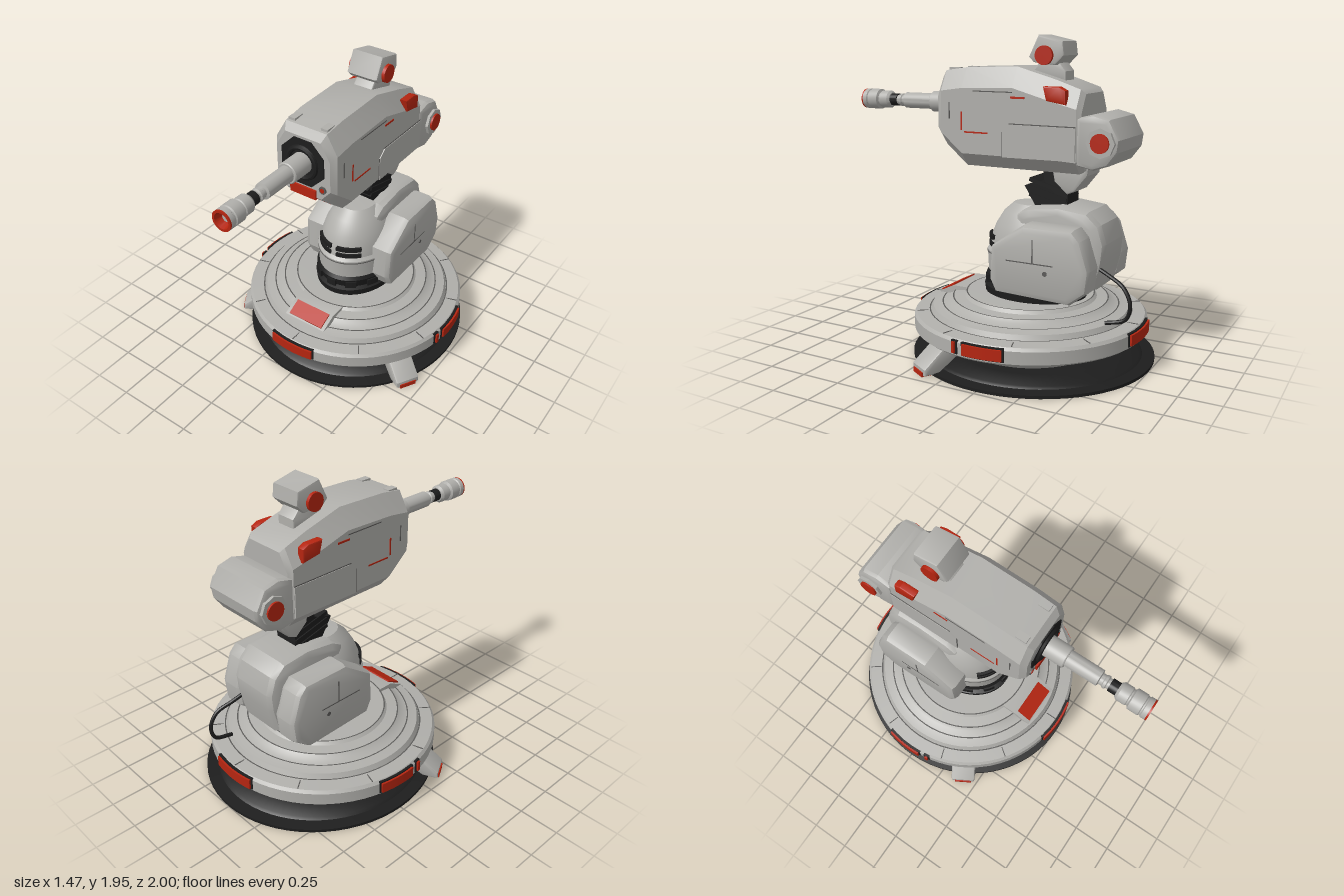
import * as THREE from 'three';
import { toCreasedNormals } from 'three/addons/utils/BufferGeometryUtils.js';

const mat = (name, color) => Object.assign(new THREE.MeshStandardMaterial({ color }), { name });
const grey = mat('light grey armour', 0xb0afab);
const seam = mat('seam grey', 0x5c5b59);
const dark = mat('dark metal', 0x1d1d1d);
const red = mat('red paint', 0xb52510);
for (const m of [grey, seam, dark, red]) m.side = THREE.DoubleSide;

function add(parent, name, geo, material, x = 0, y = 0, z = 0) {
  const mesh = new THREE.Mesh(toCreasedNormals(geo, 0.5), material);
  mesh.name = name;
  mesh.position.set(x, y, z);
  parent.add(mesh);
  return mesh;
}
const vecs = (pts) => pts.map(([a, b]) => new THREE.Vector2(a, b));
const box = (w, h, d) => new THREE.BoxGeometry(w, h, d);
const lathe = (pts, n = 64) => new THREE.LatheGeometry(vecs(pts), n);
const disc = (r, w, n = 24) => new THREE.CylinderGeometry(r, r, w, n).rotateZ(Math.PI / 2);

// Side outline of [z, y] points, extruded across x and centred on x = 0
function slab(pts, width, bevel = 0) {
  const geo = new THREE.ExtrudeGeometry(new THREE.Shape(vecs(pts)), {
    depth: width - 2 * bevel, bevelEnabled: bevel > 0, bevelSize: bevel,
    bevelThickness: bevel, bevelOffset: -bevel, bevelSegments: 2,
  });
  return geo.translate(0, 0, -(width - 2 * bevel) / 2).rotateY(-Math.PI / 2);
}

// Curved block around the y axis; angle 0 is +x, -PI/2 is the front
function arcBlock(r0, r1, y0, y1, mid, half) {
  const s = new THREE.Shape();
  s.absarc(0, 0, r1, mid - half, mid + half, false);
  s.absarc(0, 0, r0, mid + half, mid - half, true);
  return new THREE.ExtrudeGeometry(s, { depth: y1 - y0, bevelEnabled: false, curveSegments: 10 })
    .rotateX(-Math.PI / 2).translate(0, y0, 0);
}

// Chamfered box lofted along z; each section is [z, halfWidth, bottom, top, scale of chamfers]
function loft(sections) {
  const pos = [], idx = [], n = 8;
  for (const [z, w, b, t, k] of sections) {
    const cx = 0.07 * k, ct = 0.12 * k, cb = 0.08 * k;
    const half = [[w - cx, b], [w, b + cb], [w, t - ct], [w - cx, t]];
    const ring = [...half, ...half.slice().reverse().map(([x, y]) => [-x, y])];
    for (const [x, y] of ring) pos.push(x, y, z);
  }
  const last = (sections.length - 1) * n;
  for (let s = 0; s < last; s += n) {
    for (let i = 0; i < n; i++) {
      const a = s + i, b = s + (i + 1) % n;
      idx.push(a, a + n, b, b, a + n, b + n);
    }
  }
  for (let i = 1; i < n - 1; i++) idx.push(0, i, i + 1, last, last + i + 1, last + i);
  const geo = new THREE.BufferGeometry();
  geo.setAttribute('position', new THREE.Float32BufferAttribute(pos, 3));
  geo.setIndex(idx);
  return geo;
}

function buildBase(root) {
  const base = new THREE.Group();
  base.name = 'base';
  base.position.z = -0.225;
  root.add(base);
  const mat0 = add(base, 'groundDisc', lathe([[0, 0], [1, 0], [1, 0.018], [0.9, 0.022], [0.88, 0.035], [0.7, 0.05], [0, 0.06]]), dark, 0, 0, -0.02);
  mat0.scale.set(0.725, 1, 0.755);
  add(base, 'deck', lathe([[0.4, 0.05], [0.44, 0.05], [0.62, 0.16], [0.7, 0.17], [0.72, 0.185], [0.72, 0.26], [0.705, 0.277],
    [0.62, 0.285], [0.605, 0.315], [0.54, 0.325], [0.5, 0.34], [0.48, 0.357], [0.41, 0.365], [0.39, 0.385], [0, 0.39]]), grey);
  for (const [r, y] of [[0.625, 0.287], [0.545, 0.327], [0.48, 0.359], [0.395, 0.387]]) {
    add(base, 'deckSeam', new THREE.RingGeometry(r - 0.004, r + 0.004, 64).rotateX(-Math.PI / 2), seam, 0, y, 0);
  }
  for (let i = 0; i < 10; i++) {
    const line = add(base, 'deckPanelLine', box(0.085, 0.003, 0.006).translate(0.663, 0, 0), seam, 0, 0.282, 0);
    line.rotation.y = (i + 0.5) * Math.PI / 5;
  }
  // Red marker lights around the rim
  const q = Math.PI / 2;
  for (const [a, h] of [[-q, 0.21], [q, 0.21], [0.08, 0.165], [Math.PI - 0.08, 0.165], [-0.17, 0.014], [Math.PI + 0.17, 0.014]]) {
    add(base, 'rimLight', arcBlock(0.69, 0.737, 0.2, 0.265, a, h), red);
    add(base, 'rimLightFrame', arcBlock(0.69, 0.725, 0.193, 0.272, a, h + 0.015), dark);
  }
  // Sloped hatch with red plate at the front of the deck
  add(base, 'frontHatch', slab([[0.3, 0.33], [0.3, 0.385], [0.47, 0.385], [0.58, 0.33]], 0.3), grey);
  const plate = add(base, 'hatchPlate', box(0.25, 0.009, 0.105), red, 0, 0.362, 0.525);
  plate.rotation.x = 0.464;
  // Two front stabiliser legs
  for (const s of [1, -1]) {
    const leg = new THREE.Group();
    leg.name = 'stabiliserLeg';
    leg.rotation.y = s * Math.PI / 3;
    base.add(leg);
    add(leg, 'legArm', slab([[0.5, 0.17], [0.64, 0.17], [0.78, 0.05], [0.78, 0.01], [0.69, 0.01], [0.54, 0.11]], 0.16, 0.012), grey);
    add(leg, 'legFoot', box(0.11, 0.028, 0.1), red, 0, 0.016, 0.737);
  }
}

function buildBody(root) {
  const body = new THREE.Group();
  body.name = 'body';
  root.add(body);
  const core = new THREE.Group();
  core.name = 'core';
  core.position.z = -0.26;
  core.scale.z = 1.27;
  body.add(core);
  add(core, 'turntable', lathe([[0, 0.385], [0.255, 0.385], [0.26, 0.43], [0.235, 0.44], [0.25, 0.5], [0.235, 0.53], [0, 0.53]]), dark);
  for (let i = 0; i < 12; i++) add(core, 'turntableLug', arcBlock(0.23, 0.256, 0.445, 0.49, i * Math.PI / 6, 0.13), dark);
  add(core, 'frontShell', lathe([[0, 0.51], [0.23, 0.51], [0.24, 0.525], [0.245, 0.65], [0.23, 0.67], [0.222, 0.74],
    [0.2, 0.81], [0.16, 0.89], [0.11, 0.945], [0, 0.955]]), grey);
  add(core, 'shellSeam', arcBlock(0.23, 0.247, 0.635, 0.641, -Math.PI / 2, 1.2), seam);
  for (const y of [0.675, 0.72]) for (const s of [1, -1]) {
    add(core, 'ventSlot', arcBlock(0.2, 0.236, y, y + 0.027, -Math.PI / 2 + s * 0.43, 0.34), dark);
  }
  add(body, 'rearShell', slab([[-0.2, 0.45], [-0.58, 0.45], [-0.72, 0.5], [-0.76, 0.66], [-0.77, 0.77], [-0.735, 0.88],
    [-0.66, 0.95], [-0.48, 0.97], [-0.28, 0.945], [-0.2, 0.9]], 0.36, 0.05), grey);
  // Armoured side pods
  const pod = [[-0.11, 0.53], [-0.15, 0.45], [-0.62, 0.435], [-0.73, 0.52], [-0.745, 0.65], [-0.69, 0.82], [-0.64, 0.875], [-0.33, 0.875], [-0.12, 0.73]];
  for (const s of [1, -1]) {
    add(body, 'sidePod', slab(pod, 0.18, 0.04), grey, s * 0.25, 0, 0);
    add(body, 'podSeam', box(0.004, 0.006, 0.3), seam, s * 0.341, 0.66, -0.38);
    add(body, 'podSeam', box(0.004, 0.14, 0.006), seam, s * 0.341, 0.73, -0.4);
    add(body, 'podBolt', disc(0.014, 0.006, 12), seam, s * 0.341, 0.61, -0.48);
  }
  const cable = new THREE.CatmullRomCurve3([[0.14, 0.64, -0.7], [0.16, 0.6, -0.8], [0.19, 0.55, -0.9], [0.2, 0.46, -0.945],
    [0.2, 0.37, -0.92], [0.2, 0.33, -0.8]].map((p) => new THREE.Vector3(...p)));
  add(body, 'cable', new THREE.TubeGeometry(cable, 32, 0.012, 8), dark);
  // Jointed neck carrying the head
  add(body, 'neck', slab([[-0.3, 0.93], [-0.5, 0.95], [-0.5, 1.06], [-0.44, 1.18], [-0.34, 1.18], [-0.35, 1.1], [-0.22, 1.06]], 0.165), dark);
  for (let i = 0; i < 3; i++) {
    const rib = add(body, 'neckRib', box(0.18, 0.022, 0.25), dark, 0, 0.98 + i * 0.045, -0.375);
    rib.rotation.x = -0.25;
  }
  add(body, 'neckBracket', slab([[-0.4, 1.2], [-0.42, 1.1], [-0.5, 1.03], [-0.55, 1.05], [-0.63, 1.15], [-0.64, 1.22]], 0.2, 0.015), grey);
}

function buildHead(root) {
  const head = new THREE.Group();
  head.name = 'head';
  root.add(head);
  add(head, 'housing', loft([[0.32, 0.185, 1.32, 1.69, 0.9], [0.285, 0.21, 1.285, 1.735, 1], [0.14, 0.212, 1.165, 1.755, 1], [-0.2, 0.212, 1.165, 1.765, 1],
    [-0.45, 0.212, 1.165, 1.695, 1], [-0.6, 0.208, 1.165, 1.645, 0.9], [-0.625, 0.19, 1.185, 1.62, 0.9]]), grey);
  // Rear drive pod
  add(head, 'rearPod', slab([[-0.6, 1.22], [-0.7, 1.2], [-0.79, 1.23], [-0.85, 1.31], [-0.86, 1.38], [-0.8, 1.49], [-0.7, 1.515], [-0.6, 1.49]], 0.43, 0.03), grey);
  for (const s of [1, -1]) {
    add(head, 'rearPodHub', disc(0.085, 0.03, 8), grey, s * 0.218, 1.36, -0.755);
    add(head, 'rearPodCap', disc(0.055, 0.03), red, s * 0.23, 1.36, -0.755);
    add(head, 'sideMarker', slab([[-0.4, 1.66], [-0.42, 1.58], [-0.54, 1.56], [-0.54, 1.64], [-0.5, 1.66]], 0.05, 0.008), red, s * 0.2, 0, 0);
    // Side panels and painted marks
    add(head, 'lowerPanel', slab([[-0.14, 1.24], [-0.14, 1.39], [-0.19, 1.435], [-0.6, 1.435], [-0.6, 1.245]], 0.009), grey, s * 0.214, 0, 0);
    for (const [h, d, y, z] of [[0.006, 0.42, 1.438, -0.39], [0.15, 0.006, 1.315, -0.138], [0.006, 0.26, 1.62, -0.07], [0.1, 0.006, 1.5, 0.225]]) {
      add(head, 'panelSeam', box(0.004, h, d), seam, s * 0.213, y, z);
    }
    add(head, 'cornerMark', box(0.004, 0.11, 0.01), red, s * 0.213, 1.44, 0.14);
    add(head, 'cornerMark', box(0.004, 0.009, 0.16), red, s * 0.213, 1.375, 0.04);
    add(head, 'dashMark', box(0.004, 0.012, 0.09), red, s * 0.213, 1.59, -0.235);
    add(head, 'frontLamp', disc(0.024, 0.012, 16).rotateY(Math.PI / 2), seam, s * 0.135, 1.39, 0.322);
    add(head, 'frontLampLens', disc(0.014, 0.014, 16).rotateY(Math.PI / 2), red, s * 0.135, 1.39, 0.324);
    add(head, 'topLatch', box(0.045, 0.02, 0.07), grey, s * 0.11, 1.742, 0.235);
  }
  add(head, 'frontPlate', box(0.18, 0.06, 0.025), red, 0, 1.34, 0.32);
  for (let i = 0; i < 3; i++) {
    const slat = add(head, 'chinSlat', box(0.14, 0.02, 0.009), red, 0, 1.18 + i * 0.023, 0.16 + i * 0.0262);
    slat.rotation.x = 0.842;
  }
  // Octagonal gun port and stepped barrel along +z
  const port = new THREE.CylinderGeometry(0.157, 0.157, 0.012, 8).rotateY(Math.PI / 8).rotateX(Math.PI / 2);
  add(head, 'gunPort', port, dark, 0, 1.53, 0.322);
  add(head, 'gunPortRing', new THREE.TorusGeometry(0.095, 0.016, 8, 32), dark, 0, 1.53, 0.33);
  const turned = (name, pts, m) => add(head, name, lathe(pts, 32).rotateX(Math.PI / 2), m, 0, 1.53, 0);
  turned('barrel', [[0, 0.3], [0.065, 0.3], [0.065, 0.465], [0.06, 0.47], [0.05, 0.47], [0.05, 0.675], [0.034, 0.68],
    [0.034, 0.7], [0.04, 0.705], [0.04, 0.72], [0.032, 0.725], [0.032, 0.745], [0, 0.745]], grey);
  turned('barrelSleeve', [[0, 0.74], [0.039, 0.74], [0.039, 0.795], [0, 0.795]], dark);
  turned('muzzle', [[0, 0.79], [0.045, 0.79], [0.056, 0.805], [0.056, 0.86], [0.05, 0.865], [0.05, 0.872], [0.065, 0.88],
    [0.065, 0.945], [0.058, 0.95], [0.058, 0.957], [0.064, 0.962], [0.064, 0.99], [0.05, 0.99], [0.05, 0.94], [0, 0.94]], grey);
  turned('muzzleRing', [[0.042, 0.95], [0.063, 0.989], [0.063, 1], [0.048, 1], [0.036, 0.95]], red);
  turned('muzzleBore', [[0, 0.945], [0.048, 0.945], [0.048, 0.95], [0, 0.95]], dark);
  turned('muzzleCore', [[0, 0.965], [0.024, 0.965], [0.024, 0.945]], grey);
  // Sensor on top
  add(head, 'sensorStand', slab([[-0.24, 1.72], [-0.29, 1.78], [-0.33, 1.81], [-0.42, 1.8], [-0.47, 1.74], [-0.47, 1.68]], 0.13, 0.01), grey);
  add(head, 'sensorHousing', slab([[-0.25, 1.82], [-0.31, 1.945], [-0.465, 1.91], [-0.475, 1.83], [-0.42, 1.775], [-0.28, 1.79]], 0.21, 0.012), grey);
  for (const s of [1, -1]) add(head, 'sensorCap', disc(0.055, 0.03), red, s * 0.11, 1.83, -0.355);
}

export function createModel() {
  const root = new THREE.Group();
  root.name = 'turret';
  buildBase(root);
  buildBody(root);
  buildHead(root);
  return root;
}
